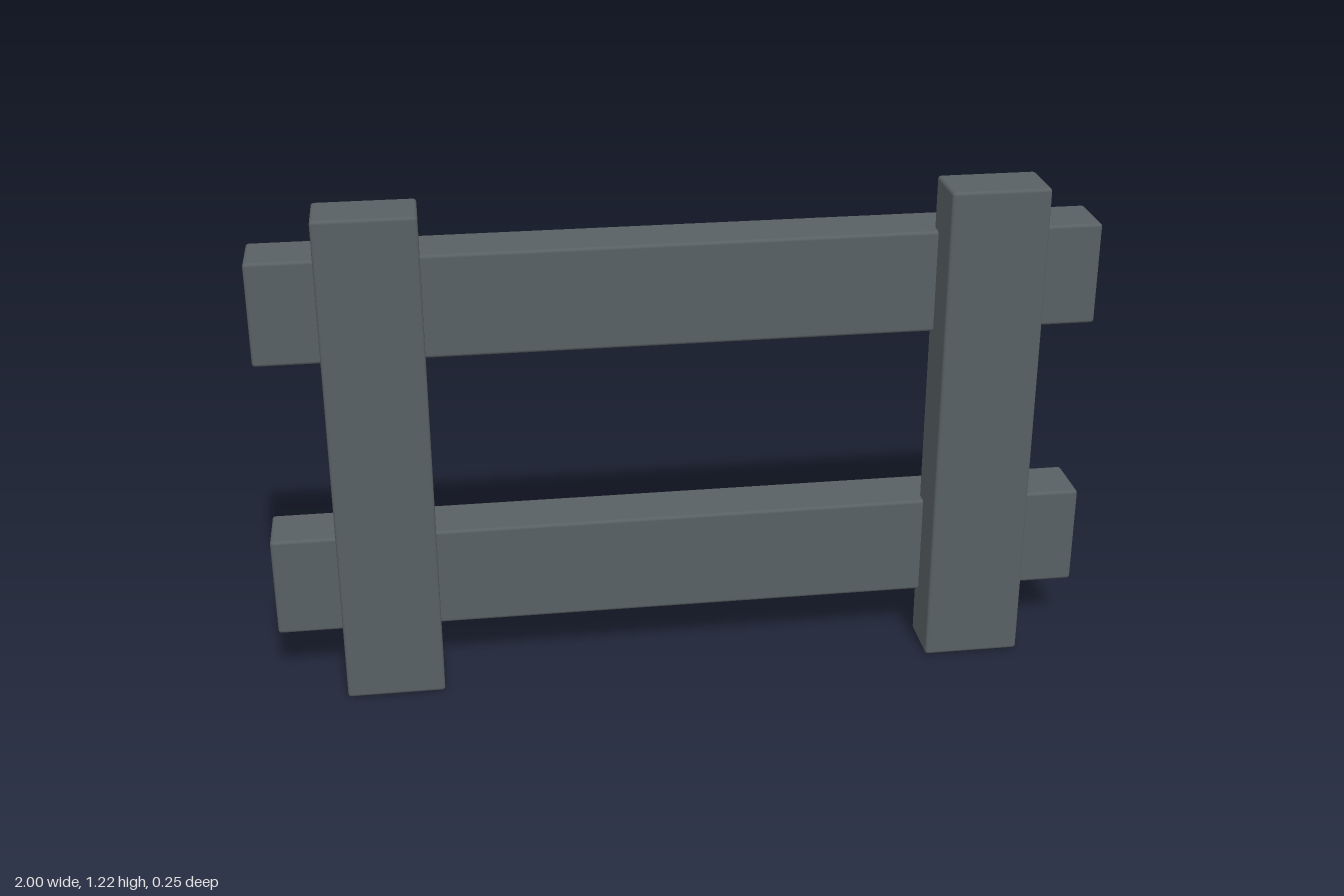
import * as THREE from 'three';
import { RoundedBoxGeometry } from 'three/addons/geometries/RoundedBoxGeometry.js';

export function createModel() {
  const model = new THREE.Group();
  model.name = 'railFence';
  const slate = new THREE.MeshStandardMaterial({ color: 0x586063 });
  slate.name = 'slateGrey';

  // Beam with slightly softened edges
  const beam = (name, w, h, d, x, y, z) => {
    const mesh = new THREE.Mesh(new RoundedBoxGeometry(w, h, d, 2, 0.008), slate);
    mesh.name = name;
    mesh.position.set(x, y, z);
    model.add(mesh);
  };

  // Upright posts in front
  beam('leftPost', 0.235, 1.217, 0.139, 0.718, 0.6085, 0.0535);
  beam('rightPost', 0.235, 1.217, 0.139, -0.722, 0.6085, 0.0535);

  // Horizontal rails, let into the backs of the posts
  beam('lowerRail', 2, 0.252, 0.145, 0, 0.259, -0.0505);
  beam('upperRail', 2, 0.252, 0.145, 0, 0.965, -0.0505);

  return model;
}
